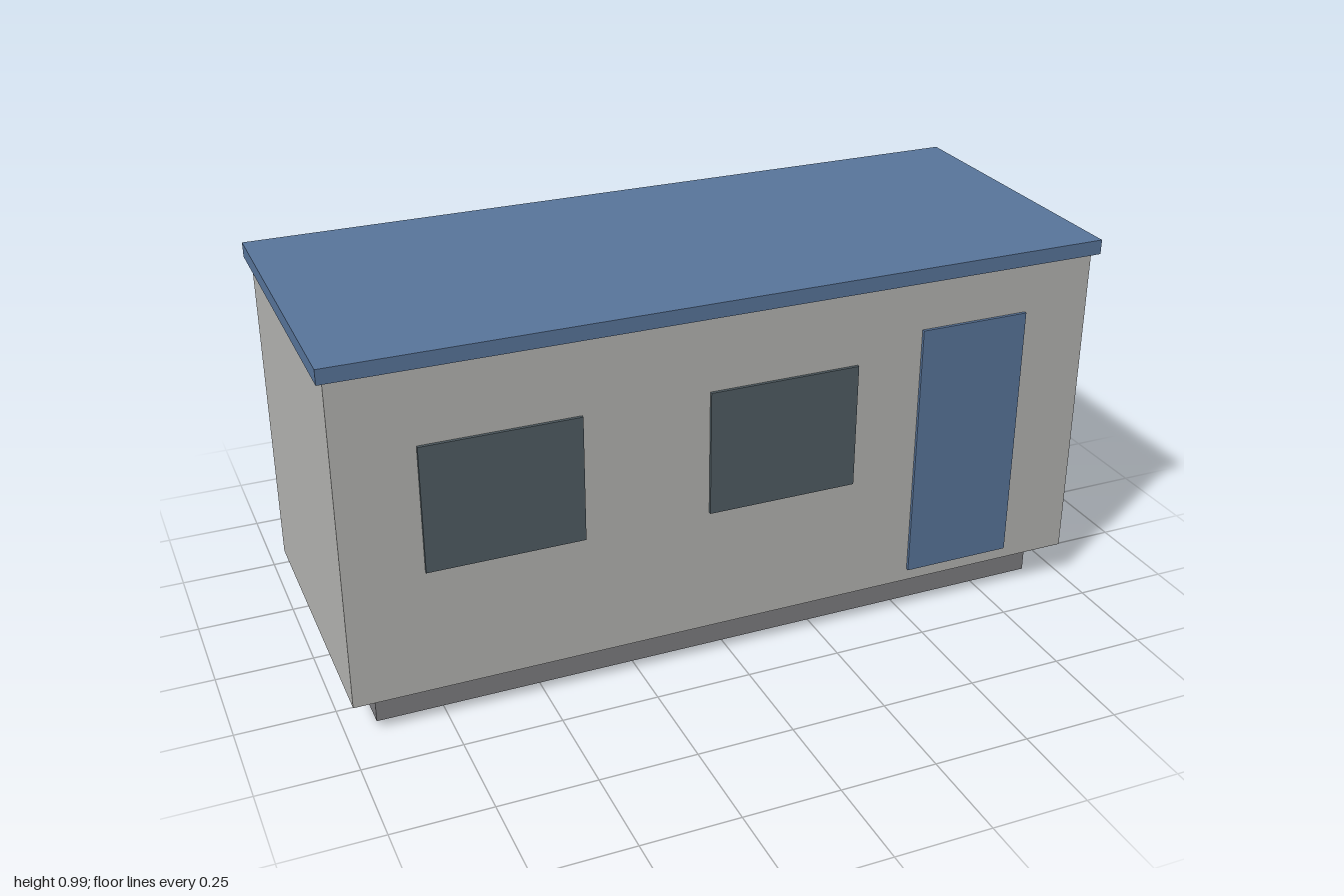
import * as THREE from 'three';

const material = (name, color) => {
  const m = new THREE.MeshStandardMaterial({ color });
  m.name = name;
  return m;
};

export function createModel() {
  const cabin = new THREE.Group();
  cabin.name = 'cabin';

  const wallGrey = material('wall grey', 0xb5b5b2);
  const blue = material('blue', 0x58759b);
  const glass = material('dark glass', 0x505d64);
  const baseGrey = material('base grey', 0x7d7d81);

  // Box given by its lower and upper corners
  const addBox = (name, mat, [x0, y0, z0], [x1, y1, z1]) => {
    const mesh = new THREE.Mesh(new THREE.BoxGeometry(x1 - x0, y1 - y0, z1 - z0), mat);
    mesh.position.set((x0 + x1) / 2, (y0 + y1) / 2, (z0 + z1) / 2);
    mesh.name = name;
    cabin.add(mesh);
  };

  // Recessed base, walls and overhanging roof slab
  addBox('base', baseGrey, [-0.918, 0, -0.328], [0.918, 0.1, 0.328]);
  addBox('walls', wallGrey, [-0.984, 0.1, -0.393], [0.984, 0.954, 0.393]);
  addBox('roof', blue, [-1, 0.954, -0.41], [1, 0.992, 0.41]);

  // Thin panels on the front wall
  const front = 0.393, face = 0.401;
  addBox('door', blue, [0.505, 0.133, front], [0.8, 0.822, face]);
  [['rightWindow', -0.787], ['middleWindow', -0.068]].forEach(([name, x]) =>
    addBox(name, glass, [x, 0.43, front], [x + 0.395, 0.758, face]));

  return cabin;
}
